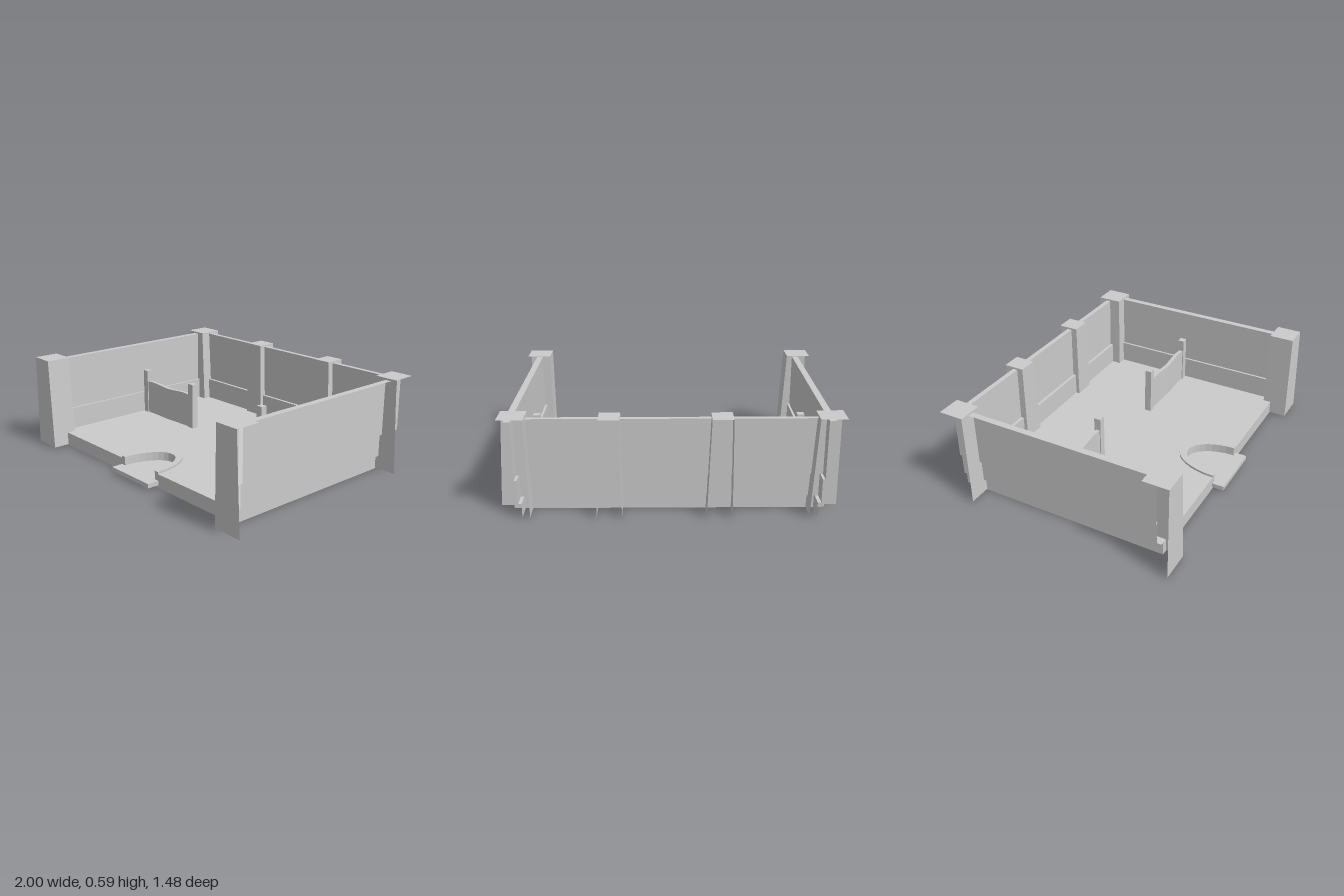
import * as THREE from 'three';

const mat = new THREE.MeshStandardMaterial({ color: 0xcccccc, flatShading: true, side: THREE.DoubleSide });

export function createModel() {
  const root = new THREE.Group();

  const add = (name, geometry, parent = root) => {
    const mesh = new THREE.Mesh(geometry, mat);
    mesh.name = name;
    parent.add(mesh);
    return mesh;
  };
  // Box given by its limits on each axis
  const box = (name, x0, x1, y0, y1, z0, z1, parent = root) => {
    const m = add(name, new THREE.BoxGeometry(x1 - x0, y1 - y0, z1 - z0), parent);
    m.position.set((x0 + x1) / 2, (y0 + y1) / 2, (z0 + z1) / 2);
  };
  // Thin plate through four corners, counter-clockwise from its front
  const plate = (name, corners, parent = root) => {
    const g = new THREE.BufferGeometry();
    g.setAttribute('position', new THREE.Float32BufferAttribute(corners.flat(), 3));
    g.setIndex([0, 1, 2, 0, 2, 3]);
    g.computeVertexNormals();
    add(name, g, parent);
  };
  const group = (name) => {
    const g = new THREE.Group();
    g.name = name;
    root.add(g);
    return g;
  };

  const FLOOR_Y = 0.087, FRONT_Z = 0.63;

  // Half-ellipse arch in the floor plane: shape y stands for -z
  const arch = (rx, rz) => Array.from({ length: 17 }, (_, i) => {
    const a = Math.PI * i / 16;
    return new THREE.Vector2(-rx * Math.cos(a), -FRONT_Z + rz * Math.sin(a));
  });
  const inner = arch(0.15, 0.25), outer = arch(0.18, 0.3);

  // Floor sheet with an arched notch at the front, open underneath
  const floorShape = new THREE.Shape([
    new THREE.Vector2(-0.845, -FRONT_Z), ...inner,
    new THREE.Vector2(0.835, -FRONT_Z), new THREE.Vector2(0.835, 0.605), new THREE.Vector2(-0.845, 0.605),
  ]);
  add('floor', new THREE.ShapeGeometry(floorShape).rotateX(-Math.PI / 2).translate(0, FLOOR_Y, 0));
  for (const [x0, x1] of [[-0.845, -0.15], [0.15, 0.835]])
    plate('floorFrontEdge', [[x0, 0, FRONT_Z], [x1, 0, FRONT_Z], [x1, FLOOR_Y, FRONT_Z], [x0, FLOOR_Y, FRONT_Z]]);

  // Raised rim round the notch and the entrance step below it
  const rim = new THREE.Shape([...outer, ...inner.slice().reverse()]);
  add('archRim', new THREE.ExtrudeGeometry(rim, { depth: 0.06, bevelEnabled: false })
    .rotateX(-Math.PI / 2).translate(0, 0.04, 0));
  box('entranceStep', -0.183, 0.183, 0.018, 0.045, 0.27, 0.705);

  // Walls: single sheets open to the outside, following a stepped profile
  // of [distance outwards, height], from the top ledge to the floor's skirt
  const wall = (name, profile, start, end, place) => {
    const g = group(name);
    const parts = ['topLedge', 'upperPanel', 'panelLedge', 'lowerPanel', 'floorMargin', 'skirt'];
    parts.forEach((part, i) => {
      const [a, b] = [profile[i], profile[i + 1]];
      plate(part, [place(start, ...a), place(end, ...a), place(end, ...b), place(start, ...b)], g);
    });
  };
  const steps = (d) => [
    [d[0], 0.58], [d[1], 0.58], [d[1], 0.23], [d[2], 0.23], [d[2], FLOOR_Y], [d[3], FLOOR_Y], [d[3], 0],
  ];
  const side = steps([0.915, 0.875, 0.86, 0.84]);
  wall('leftWall', side, 0.602, -0.73, (t, d, y) => [d - 0.005, y, t]);
  wall('rightWall', side, -0.73, 0.602, (t, d, y) => [-d - 0.005, y, t]);
  wall('backWall', steps([0.683, 0.652, 0.632, 0.605]), 0.9, -0.91, (t, d, y) => [t, y, -d]);
  // Floor margin in front of the side walls' ends
  for (const [x0, x1] of [[-0.865, -0.845], [0.835, 0.855]])
    plate('floorMargin', [[x0, FLOOR_Y, FRONT_Z], [x1, FLOOR_Y, FRONT_Z], [x1, FLOOR_Y, 0.602], [x0, FLOOR_Y, 0.602]]);
  for (const x of [-0.845, 0.835])
    plate('skirtEnd', [[x, 0, FRONT_Z], [x, 0, 0.602], [x, FLOOR_Y, 0.602], [x, FLOOR_Y, FRONT_Z]]);

  // Pillars: capped shells of plates, flared towards the foot on the +x side
  const pillar = (name, x0, x1, foot0, foot1, zBack, zFront, sides) => {
    const g = group(name), top = 0.592, y = 0.005, zf = zFront + 0.005;
    plate('cap', [[x0, top, zFront], [x1, top, zFront], [x1, top, zBack], [x0, top, zBack]], g);
    plate('frontPlate', [[foot0, y, zf], [foot1, y, zf], [x1, top, zFront], [x0, top, zFront]], g);
    if (sides.includes('R'))
      plate('sidePlate', [[foot0, y, zBack], [foot0, y, zf], [x0, top, zFront], [x0, top, zBack]], g);
    if (sides.includes('L'))
      plate('sidePlate', [[foot1, y, zf], [foot1, y, zBack], [x1, top, zBack], [x1, top, zFront]], g);
  };
  pillar('frontRightPillar', -0.995, -0.84, -1, -0.81, 0.572, 0.73, 'L');
  pillar('frontLeftPillar', 0.815, 0.967, 0.81, 1, 0.58, 0.737, 'R');
  pillar('backRightPillar', -0.982, -0.83, -0.985, -0.8, -0.74, -0.585, 'L');
  pillar('backLeftPillar', 0.798, 0.948, 0.79, 0.98, -0.735, -0.578, 'R');
  pillar('backMiddlePillar', -0.357, -0.237, -0.362, -0.215, -0.74, -0.612, 'LR');
  pillar('backMiddlePillar', 0.272, 0.392, 0.268, 0.412, -0.74, -0.612, 'LR');

  // Stall partitions: two posts and a slightly warped panel each
  for (const [a, b] of [[-0.838, -0.338], [0.325, 0.825]]) {
    const stall = group('stallPartition');
    for (const x of [a, b]) box('post', x - 0.022, x + 0.022, FLOOR_Y, 0.395, -0.095, -0.052, stall);
    const g = new THREE.BoxGeometry(b - a, 0.228, 0.025, 8, 1, 1);
    const p = g.attributes.position;
    for (let i = 0; i < p.count; i++) {
      const w = Math.cos(p.getX(i) / (b - a) * Math.PI * 3);
      p.setZ(i, p.getZ(i) + 0.003 * w);
      if (p.getY(i) > 0) p.setY(i, p.getY(i) - 0.004 * w);
    }
    g.computeVertexNormals();
    add('panel', g, stall).position.set((a + b) / 2, FLOOR_Y + 0.114, -0.07);
  }

  return root;
}
